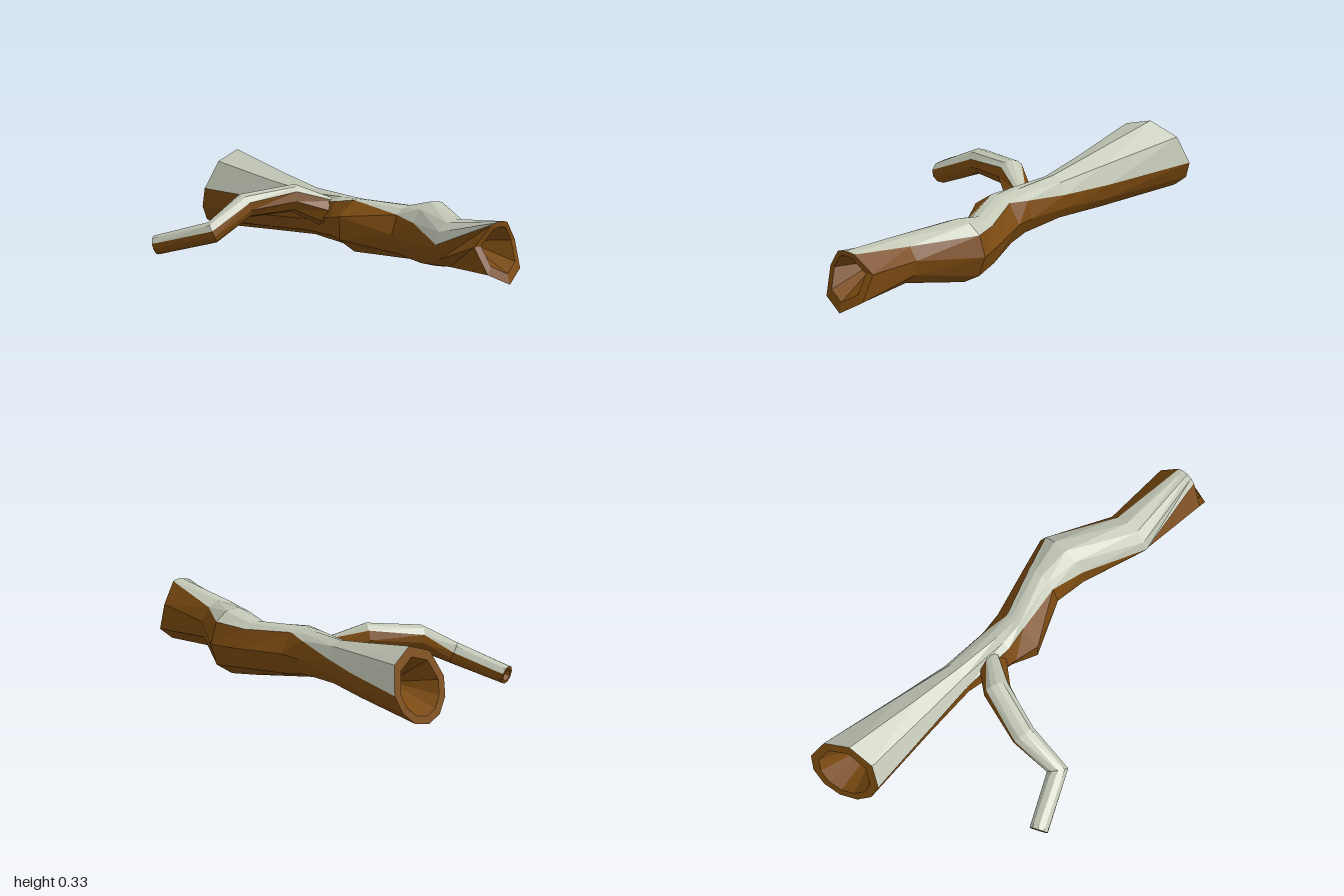
import * as THREE from 'three';

const bark = new THREE.MeshStandardMaterial({ color: 0x7b4a10, flatShading: true, name: 'bark brown' });
const snow = new THREE.MeshStandardMaterial({ color: 0xc2c7b6, flatShading: true, name: 'pale snow' });
bark.side = snow.side = THREE.DoubleSide;

const TOP = 4, UNDER = 6, N = TOP + UNDER; // facets across the snow and round the bark

// angles of one ring: the snow arc from a0 to a1, then the bark arc back round
function ringAngles(a0, a1) {
  const list = [];
  for (let i = 0; i < TOP; i++) list.push(a0 + (a1 - a0) * i / TOP);
  for (let i = 0; i < UNDER; i++) list.push(a1 + (360 + a0 - a1) * i / UNDER);
  return list.map(THREE.MathUtils.degToRad);
}

function ring(center, side, up, rs, ru, a0, a1) {
  return ringAngles(a0, a1).map(a => center.clone()
    .addScaledVector(side, rs * Math.cos(a)).addScaledVector(up, ru * Math.sin(a)));
}

// shrink a ring towards its middle, optionally shifted
function inset(points, k, shift = new THREE.Vector3()) {
  const mid = points.reduce((s, p) => s.add(p), new THREE.Vector3()).divideScalar(N);
  return points.map(p => p.clone().lerp(mid, 1 - k).add(shift));
}

// skin rings; spans before `first` and from `last` on are bare wood
function loft(name, rings, first, last) {
  const data = { bark: [], snow: [] };
  for (let i = 0; i < rings.length - 1; i++) {
    for (let j = 0; j < N; j++) {
      const k = (j + 1) % N;
      const out = j < TOP && i >= first && i < last ? data.snow : data.bark;
      const [a, b, c, d] = [rings[i][j], rings[i + 1][j], rings[i + 1][k], rings[i][k]];
      for (const tri of [[a, b, c], [a, c, d]]) {
        if (new THREE.Triangle(...tri).getArea() > 1e-7) tri.forEach(p => out.push(p.x, p.y, p.z));
      }
    }
  }
  const group = new THREE.Group();
  group.name = name;
  for (const [key, mat] of [['bark', bark], ['snow', snow]]) {
    const geo = new THREE.BufferGeometry();
    geo.setAttribute('position', new THREE.Float32BufferAttribute(data[key], 3));
    geo.computeVertexNormals();
    const mesh = new THREE.Mesh(geo, mat);
    mesh.name = name + (key === 'bark' ? 'Bark' : 'Snow');
    group.add(mesh);
  }
  return group;
}

function makeTrunk() {
  // x, centre z, centre y, half depth, half height, snow from, snow to
  const sections = [
    [-0.94, -0.305, 0.17, 0.155, 0.16, 5, 188],
    [-0.55, -0.275, 0.16, 0.10, 0.12, 10, 178],
    [-0.32, -0.255, 0.153, 0.07, 0.097, 22, 165],
    [-0.10, -0.225, 0.15, 0.095, 0.10, 55, 140],
    [0.00, -0.21, 0.14, 0.12, 0.11, 78, 125],
    [0.22, -0.295, 0.13, 0.098, 0.113, 45, 130],
    [0.36, -0.305, 0.14, 0.125, 0.138, 25, 140],
    [0.63, -0.182, 0.15, 0.10, 0.10, 2, 130],
    [0.91, -0.16, 0.155, 0.115, 0.13, 65, 110],
  ];
  const side = new THREE.Vector3(0, 0, 1), up = new THREE.Vector3(0, 1, 0);
  const rings = sections.map(([x, z, y, rz, ry, a0, a1]) =>
    ring(new THREE.Vector3(x, y, z), side, up, rz, ry, a0, a1));

  // slant and splinter the broken ends
  const left = rings[0], right = rings[rings.length - 1];
  const anglesL = ringAngles(5, 188), anglesR = ringAngles(65, 110);
  left.forEach((p, j) => { p.x += 0.035 * Math.cos(anglesL[j]) + 0.05 * Math.sin(anglesL[j]); });
  right.forEach((p, j) => {
    const s = Math.sin(anglesR[j]);
    p.x += s < 0 ? -0.09 * s : 0.04 * Math.max(0, s * 2 - 1);
  });

  // hollow ends: rim, then a pit running inwards
  const pitL = inset(left, 0, new THREE.Vector3(0.22, 0, 0));
  const pitR = inset(right, 0, new THREE.Vector3(-0.22, -0.02, 0));
  const all = [pitL, inset(left, 0.76), ...rings, inset(right, 0.74), pitR];
  return loft('trunk', all, 2, all.length - 3);
}

function makeBranch() {
  // x, y, z, radius, snow from, snow to
  const path = [
    [-0.17, 0.17, -0.20, 0.062, 70, 110],
    [-0.265, 0.235, -0.08, 0.058, 35, 145],
    [-0.328, 0.218, 0.13, 0.052, 18, 158],
    [-0.318, 0.128, 0.315, 0.046, 10, 165],
    [-0.545, 0.058, 0.425, 0.04, 15, 165],
  ];
  const pts = path.map(p => new THREE.Vector3(p[0], p[1], p[2]));
  const rings = path.map(([, , , r, a0, a1], i) => {
    const t = pts[Math.min(i + 1, pts.length - 1)].clone().sub(pts[Math.max(i - 1, 0)]).normalize();
    const side = t.clone().cross(new THREE.Vector3(0, 1, 0)).normalize();
    const up = side.clone().cross(t);
    return ring(pts[i], side, up, r, r, a0, a1);
  });
  const tip = rings[rings.length - 1];
  const all = [...rings, inset(tip, 0.65), inset(tip, 0, new THREE.Vector3(0.05, 0.01, -0.025))];
  return loft('branch', all, 0, rings.length - 1);
}

export function createModel() {
  const model = new THREE.Group();
  model.name = 'fallenLog';
  model.add(makeTrunk(), makeBranch());
  return model;
}
